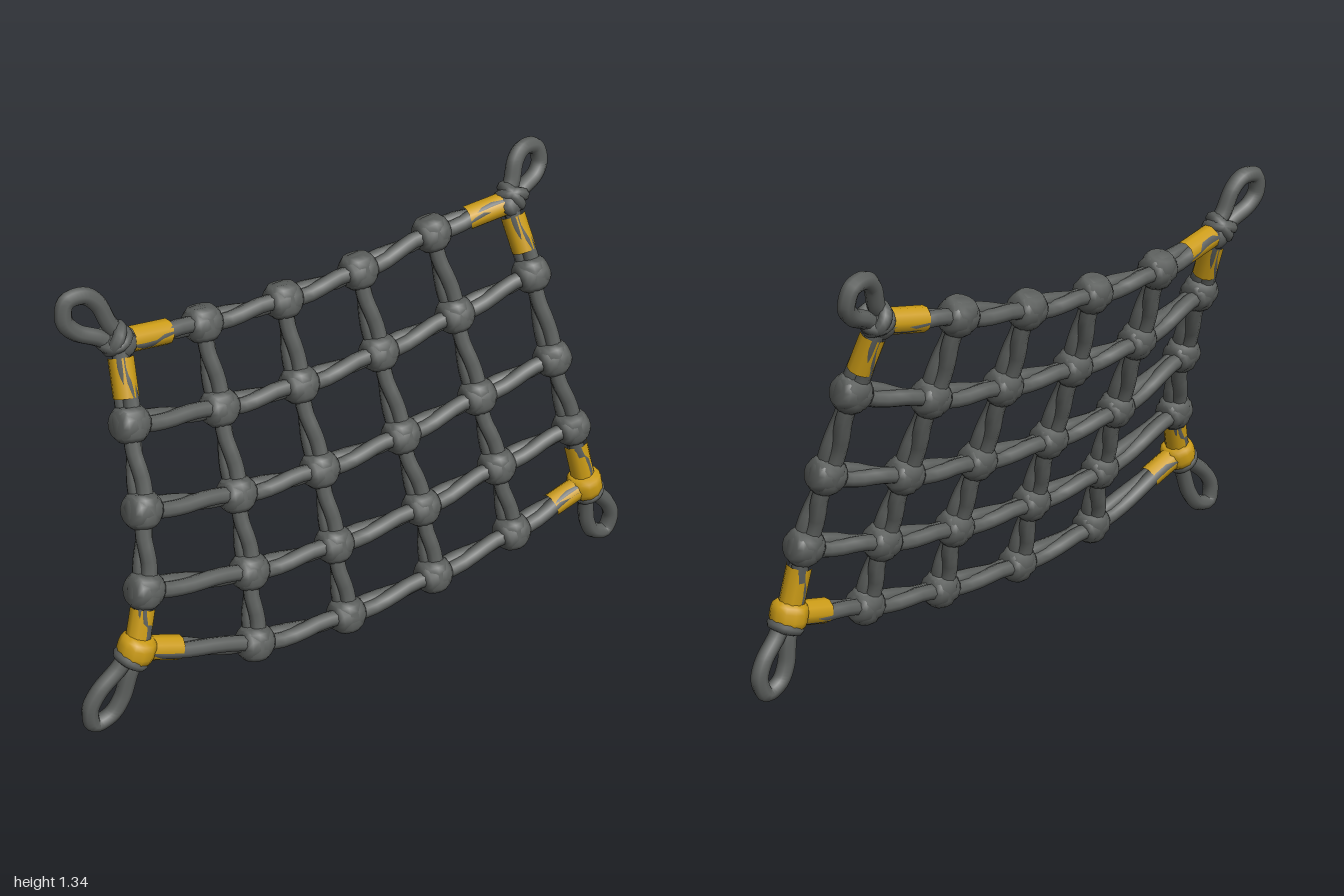
import * as THREE from 'three';

const V = (x, y, z) => new THREE.Vector3(x, y, z);
const UP = V(0, 1, 0);
const NORMAL = V(0, 0.28, 0.96);

const ropeGrey = new THREE.MeshStandardMaterial({ name: 'ropeGrey', color: 0x5c5f5d });
const sleeveYellow = new THREE.MeshStandardMaterial({ name: 'sleeveYellow', color: 0xcc9c16 });

// Knot positions [x, y] by row, top to bottom; depth of edge and inner knots by row
const rows = [
  [[-0.68, 1.11], [-0.39, 1.07], [-0.115, 1.065], [0.15, 1.085], [0.415, 1.135], [0.68, 1.18]],
  [[-0.70, 0.89], [-0.385, 0.825], [-0.11, 0.815], [0.175, 0.835], [0.455, 0.88], [0.715, 0.96]],
  [[-0.72, 0.655], [-0.385, 0.575], [-0.095, 0.56], [0.2, 0.58], [0.485, 0.625], [0.745, 0.695]],
  [[-0.757, 0.43], [-0.39, 0.345], [-0.09, 0.33], [0.23, 0.35], [0.515, 0.40], [0.785, 0.465]],
  [[-0.805, 0.26], [-0.41, 0.13], [-0.083, 0.105], [0.24, 0.13], [0.54, 0.18], [0.83, 0.255]],
];
const edgeZ = [-0.115, -0.035, 0.05, 0.11, 0.135];
const innerZ = [-0.145, -0.07, 0.015, 0.085, 0.14];

// Part of a curve between two of its parameters, pushed sideways to form one strand of a rope
function strand(curve, t0, t1, offset, turns) {
  const points = [];
  for (let i = 0; i <= 24; i++) {
    const t = t0 + (t1 - t0) * i / 24;
    const side = curve.getTangent(t).cross(NORMAL).normalize();
    const a = 0.6 * Math.sin(t * Math.PI * turns);
    points.push(curve.getPoint(t)
      .addScaledVector(NORMAL, offset * Math.cos(a))
      .addScaledVector(side, offset * Math.sin(a)));
  }
  return new THREE.CatmullRomCurve3(points);
}

function add(parent, name, geometry, material) {
  const mesh = new THREE.Mesh(geometry, material);
  mesh.name = name;
  parent.add(mesh);
  return mesh;
}

function rope(parent, name, curve, turns) {
  for (const offset of [-0.014, 0.014]) {
    add(parent, name, new THREE.TubeGeometry(strand(curve, 0, 1, offset, turns), 40, 0.025, 8), ropeGrey);
  }
}

function sleeve(parent, curve, t0, t1) {
  add(parent, 'cornerSleeve', new THREE.TubeGeometry(strand(curve, t0, t1, 0, 0), 8, 0.038, 10), sleeveYellow);
}

// Barrel with rounded rims, centred on the origin along y
function barrelGeometry(radius, half) {
  const profile = [[0, -half], [radius * 0.7, -half], [radius * 0.93, -half * 0.72], [radius, -half * 0.3],
    [radius, half * 0.3], [radius * 0.93, half * 0.72], [radius * 0.7, half], [0, half]];
  return new THREE.LatheGeometry(profile.map(([x, y]) => new THREE.Vector2(x, y)), 12);
}

function place(mesh, position, direction) {
  mesh.position.copy(position);
  mesh.quaternion.setFromUnitVectors(UP, direction.clone().normalize());
  return mesh;
}

// Teardrop eye made from one bent rope
function eyeLoop(parent, base, tip, width) {
  const along = tip.clone().sub(base);
  const side = along.clone().cross(V(0, 0, 1)).normalize();
  const shape = [[0, 0.2], [0.3, 0.5], [0.62, 0.97], [0.85, 0.85], [1, 0],
    [0.85, -0.85], [0.62, -0.97], [0.3, -0.5], [0, -0.2]];
  const points = shape.map(([a, s]) => base.clone().addScaledVector(along, a).addScaledVector(side, s * width));
  const curve = new THREE.CatmullRomCurve3(points, true);
  add(parent, 'eyeLoop', new THREE.TubeGeometry(curve, 48, 0.026, 8, true), ropeGrey);
  return along.normalize();
}

export function createModel() {
  const model = new THREE.Group();
  model.name = 'cargoNet';

  const nodes = rows.map((row, r) => row.map(([x, y], c) =>
    V(x, y, (c === 0 || c === 5 ? edgeZ : innerZ)[r])));
  const rowCurves = nodes.map(points => new THREE.CatmullRomCurve3(points));
  const columnCurves = nodes[0].map((_, c) => new THREE.CatmullRomCurve3(nodes.map(row => row[c])));

  // Ropes of the net
  const ropes = new THREE.Group();
  ropes.name = 'ropes';
  model.add(ropes);
  rowCurves.forEach(curve => rope(ropes, 'crossRope', curve, 10));
  columnCurves.forEach(curve => rope(ropes, 'uprightRope', curve, 8));

  // Crossed barrels wherever two ropes meet, except at the corners
  const knots = new THREE.Group();
  knots.name = 'knots';
  model.add(knots);
  const knotBarrel = barrelGeometry(0.053, 0.05);
  nodes.forEach((row, r) => row.forEach((point, c) => {
    if ((r === 0 || r === 4) && (c === 0 || c === 5)) return;
    place(add(knots, 'knot', knotBarrel, ropeGrey), point, rowCurves[r].getTangent(c / 5));
    place(add(knots, 'knot', knotBarrel, ropeGrey), point, columnCurves[c].getTangent(r / 4));
  }));

  // Yellow sleeves beside each corner
  const sleeves = new THREE.Group();
  sleeves.name = 'sleeves';
  model.add(sleeves);
  sleeve(sleeves, rowCurves[0], 0.12 / 5, 0.57 / 5);
  sleeve(sleeves, rowCurves[0], 1 - 0.55 / 5, 1 - 0.1 / 5);
  sleeve(sleeves, rowCurves[4], 0.06 / 5, 0.34 / 5);
  sleeve(sleeves, rowCurves[4], 1 - 0.47 / 5, 1 - 0.08 / 5);
  for (const c of [0, 5]) {
    sleeve(sleeves, columnCurves[c], 0.18 / 4, 0.68 / 4);
    sleeve(sleeves, columnCurves[c], 1 - 0.72 / 4, 1 - 0.05 / 4);
  }

  // Upper corners: eye loop, grey knot and two crossed wraps
  const wrap = new THREE.TorusGeometry(0.036, 0.02, 8, 20).rotateX(Math.PI / 2);
  const upper = [[nodes[0][0], V(-0.825, 1.265, -0.14)], [nodes[0][5], V(0.805, 1.318, -0.155)]];
  for (const [node, tip] of upper) {
    const corner = new THREE.Group();
    corner.name = 'upperCorner';
    model.add(corner);
    const along = eyeLoop(corner, node, tip, 0.052);
    place(add(corner, 'cornerKnot', barrelGeometry(0.046, 0.042), ropeGrey), node, along);
    for (const lean of [-0.45, 0.45]) {
      const direction = along.clone().add(V(lean, 0, lean * 0.6));
      place(add(corner, 'knotWrap', wrap, ropeGrey), node.clone().addScaledVector(along, 0.02), direction);
    }
  }

  // Lower corners: eye loop held by a yellow collar
  const lower = [[nodes[4][0], V(-0.95, 0.045, 0.125)], [nodes[4][5], V(0.932, 0.04, 0.125)]];
  for (const [node, tip] of lower) {
    const corner = new THREE.Group();
    corner.name = 'lowerCorner';
    model.add(corner);
    const along = eyeLoop(corner, node, tip, 0.046);
    const collarAxis = along.clone().add(V(0, -0.8, 0));
    place(add(corner, 'cornerCollar', barrelGeometry(0.057, 0.042), sleeveYellow), node, collarAxis);
    place(add(corner, 'knotWrap', wrap, ropeGrey), node.clone().addScaledVector(along, 0.035), along);
  }
  return model;
}
